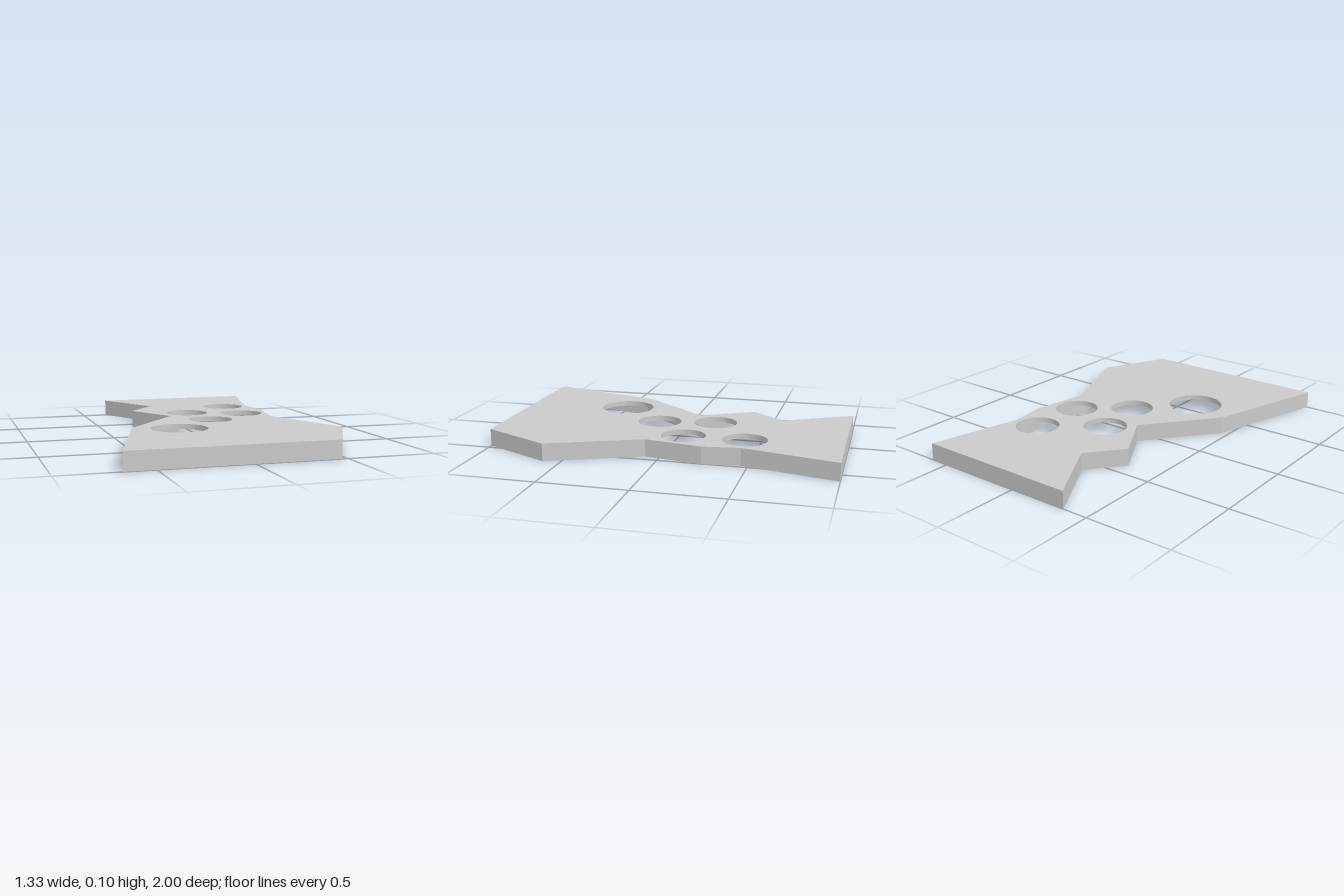
import * as THREE from 'three';
import { toCreasedNormals } from 'three/addons/utils/BufferGeometryUtils.js';

const HEIGHT = 0.1, SKIN = 0.03, WALL = 0.043;

// outline of the plate as [x, z], going around from the back edge
const OUTLINE = [
  [-0.352, -1], [0.609, -1], [0.479, -0.462], [0.507, -0.25], [0.448, 0.08], [0.667, 0.6],
  [0.468, 1], [-0.667, 1], [-0.46, 0.3], [-0.132, -0.1], [-0.297, -0.4], [-0.132, -0.6],
].map(([x, z]) => new THREE.Vector2(x, -z));

// round openings as [x, z, radius]
const HOLES = [
  [0.323, -0.455, 0.126], [0.007, -0.223, 0.126], [0.323, -0.106, 0.126],
  [0.06, 0.102, 0.126], [-0.213, 0.387, 0.159],
];

// mitred inward offset of a clockwise polygon
function inset(points, d) {
  const n = points.length;
  return points.map((p, i) => {
    const a = p.clone().sub(points[(i + n - 1) % n]).normalize();
    const b = points[(i + 1) % n].clone().sub(p).normalize();
    const na = new THREE.Vector2(a.y, -a.x), nb = new THREE.Vector2(b.y, -b.x);
    const m = na.clone().add(nb);
    return p.clone().addScaledVector(m, d / (1 + na.dot(nb)));
  });
}

function nearHole(v) {
  return HOLES.some(([x, z, r]) => Math.hypot(v.x - x, v.y + z) < r + 0.015);
}

// inner edge of the rim, pushed outward where an opening bites into it
function rimInner() {
  const corners = inset(OUTLINE, WALL), result = [];
  corners.forEach((p, i) => {
    const q = corners[(i + 1) % corners.length];
    const steps = Math.ceil(p.distanceTo(q) / 0.012);
    for (let s = 0; s < steps; s++) {
      const v = p.clone().lerp(q, s / steps);
      if (s > 0 && !nearHole(v)) continue;
      for (const [x, z, r] of HOLES) {
        const c = new THREE.Vector2(x, -z);
        if (v.distanceTo(c) < r) v.sub(c).setLength(r).add(c);
      }
      result.push(v);
    }
  });
  return result.reverse(); // holes wind against the outline, so the inner walls face inward
}

// extrude a plan shape upward from height y
function slab(name, shape, y, depth, material) {
  const geo = new THREE.ExtrudeGeometry(shape, { depth, bevelEnabled: false, curveSegments: 48 });
  geo.rotateX(-Math.PI / 2);
  geo.translate(0, y, 0);
  const mesh = new THREE.Mesh(toCreasedNormals(geo, 0.2), material);
  mesh.name = name;
  return mesh;
}

export function createModel() {
  const group = new THREE.Group();
  group.name = 'hollowPlate';
  const grey = new THREE.MeshStandardMaterial({ color: 0xcacaca });
  grey.name = 'light grey';

  // top sheet with the five round openings
  const top = new THREE.Shape(OUTLINE);
  for (const [x, z, r] of HOLES) {
    top.holes.push(new THREE.Path().absarc(x, -z, r, 0, Math.PI * 2, false));
  }
  group.add(slab('topSheet', top, HEIGHT - SKIN, SKIN, grey));

  // rim wall around the open underside
  const rim = new THREE.Shape(OUTLINE);
  rim.holes.push(new THREE.Path(rimInner()));
  group.add(slab('rimWall', rim, 0, HEIGHT - SKIN, grey));

  return group;
}
